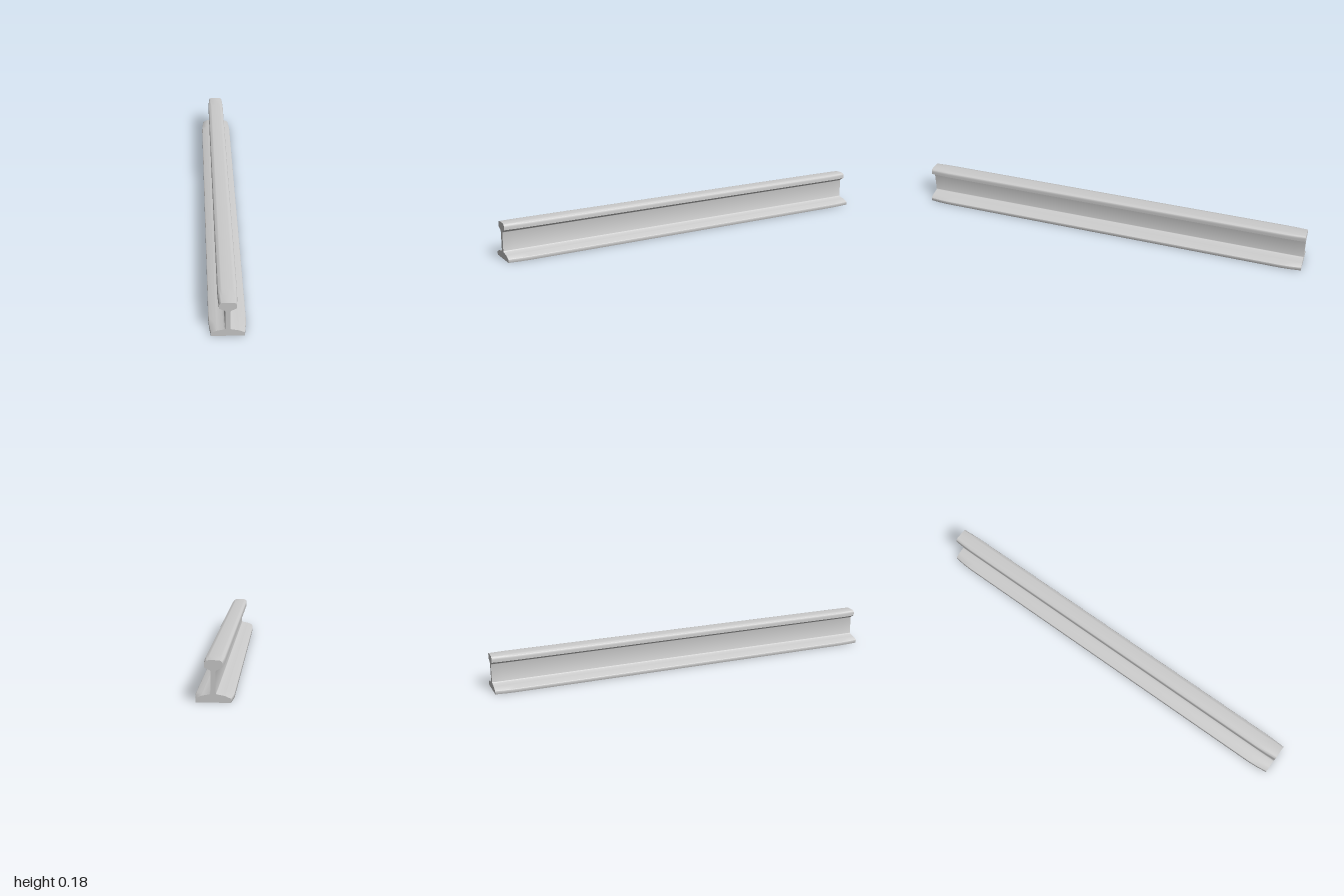
import * as THREE from 'three';
import { toCreasedNormals } from 'three/addons/utils/BufferGeometryUtils.js';

// Right half of the rail section, from foot centre up to head centre
function halfProfile() {
  const p = new THREE.Path();
  p.moveTo(0, 0);
  p.lineTo(0.081, 0);
  p.lineTo(0.082, 0.002);
  p.lineTo(0.082, 0.015);
  p.quadraticCurveTo(0.082, 0.0175, 0.079, 0.0185); // foot edge
  p.lineTo(0.058, 0.027);
  p.quadraticCurveTo(0.052, 0.029, 0.046, 0.03);
  p.lineTo(0.019, 0.0345);
  p.quadraticCurveTo(0.012, 0.036, 0.0115, 0.043); // fillet into web
  p.lineTo(0.0115, 0.127);
  p.quadraticCurveTo(0.0115, 0.133, 0.016, 0.135); // fillet into head
  p.lineTo(0.0425, 0.147);
  p.lineTo(0.0425, 0.16);
  p.bezierCurveTo(0.0425, 0.172, 0.036, 0.1755, 0.024, 0.1765); // head corner
  p.lineTo(0, 0.177);
  return p.getPoints(5);
}

export function createModel() {
  const group = new THREE.Group();
  group.name = 'rail';

  const right = halfProfile();
  const left = right.slice(1, -1).reverse().map(v => new THREE.Vector2(-v.x, v.y));
  const shape = new THREE.Shape([...right, ...left]);

  let geometry = new THREE.ExtrudeGeometry(shape, { depth: 2, steps: 40, bevelEnabled: false });
  geometry.translate(0, 0, -1);

  // Narrow the last tenth of each end with a rounded taper
  const pos = geometry.attributes.position;
  for (let i = 0; i < pos.count; i++) {
    const t = Math.max(0, (Math.abs(pos.getZ(i)) - 0.9) / 0.1);
    pos.setX(i, pos.getX(i) * (1 - 0.11 * Math.pow(t, 1.6)));
  }
  geometry = toCreasedNormals(geometry, 0.55);

  const body = new THREE.Mesh(
    geometry,
    new THREE.MeshStandardMaterial({ color: 0xcccccc })
  );
  body.name = 'railBody';
  group.add(body);
  return group;
}
